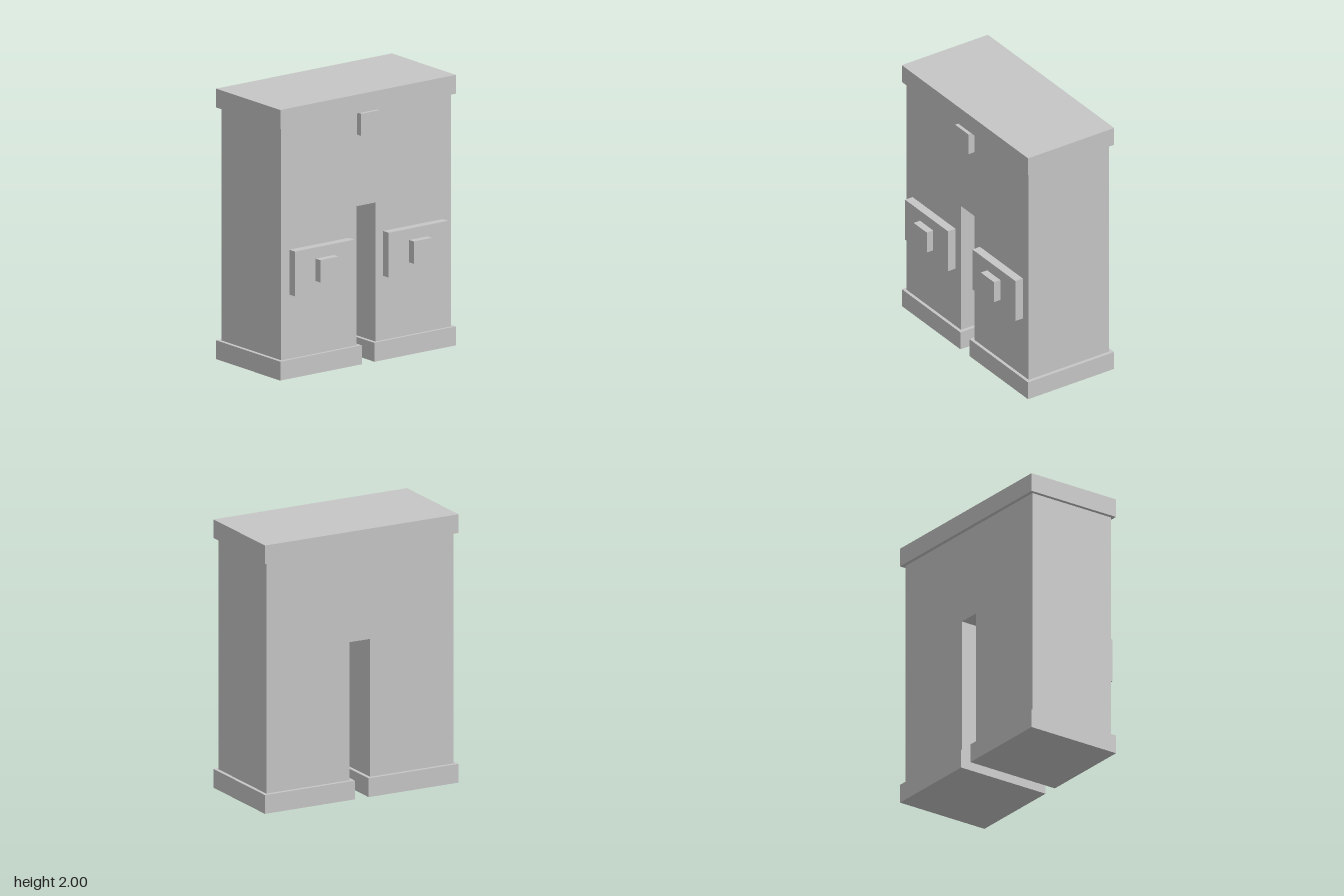
import * as THREE from 'three';

const grey = new THREE.MeshStandardMaterial({ color: 0xc6c6c6 });
grey.name = 'light grey';

// Box given by its limits on each axis
function block(name, [x0, x1], [y0, y1], [z0, z1]) {
  const mesh = new THREE.Mesh(new THREE.BoxGeometry(x1 - x0, y1 - y0, z1 - z0), grey);
  mesh.position.set((x0 + x1) / 2, (y0 + y1) / 2, (z0 + z1) / 2);
  mesh.name = name;
  return mesh;
}

export function createModel() {
  const model = new THREE.Group();
  model.name = 'trousers';
  const front = 0.302, back = -0.394;

  // Trouser body: two legs joined above a tall gap
  const outline = new THREE.Shape([
    [0.084, 0.14], [0.766, 0.14], [0.766, 1.862], [-0.766, 1.862],
    [-0.766, 0.14], [-0.084, 0.14], [-0.084, 1.168], [0.084, 1.168],
  ].map(([x, y]) => new THREE.Vector2(x, y)));
  const body = new THREE.Mesh(
    new THREE.ExtrudeGeometry(outline, { depth: front - back, bevelEnabled: false }), grey);
  body.position.z = back;
  body.name = 'trouserBody';
  model.add(body);

  // Waistband and its front button
  model.add(block('waistband', [-0.793, 0.793], [1.861, 2], [-0.422, 0.326]));
  model.add(block('waistButton', [-0.083, 0.083], [1.697, 1.861], [front, 0.353]));

  // Cuff, knee pad and pad stud on each leg
  for (const [side, s] of [['left', 1], ['right', -1]]) {
    const span = (a, b) => (s > 0 ? [a, b] : [-b, -a]);
    model.add(block(side + 'Cuff', span(0.056, 0.793), [0, 0.14], [-0.422, 0.326]));
    model.add(block(side + 'KneePad', span(0.154, 0.692), [0.614, 0.946], [front, 0.367]));
    model.add(block(side + 'KneeStud', span(0.339, 0.505), [0.698, 0.863], [0.367, 0.422]));
  }
  return model;
}
